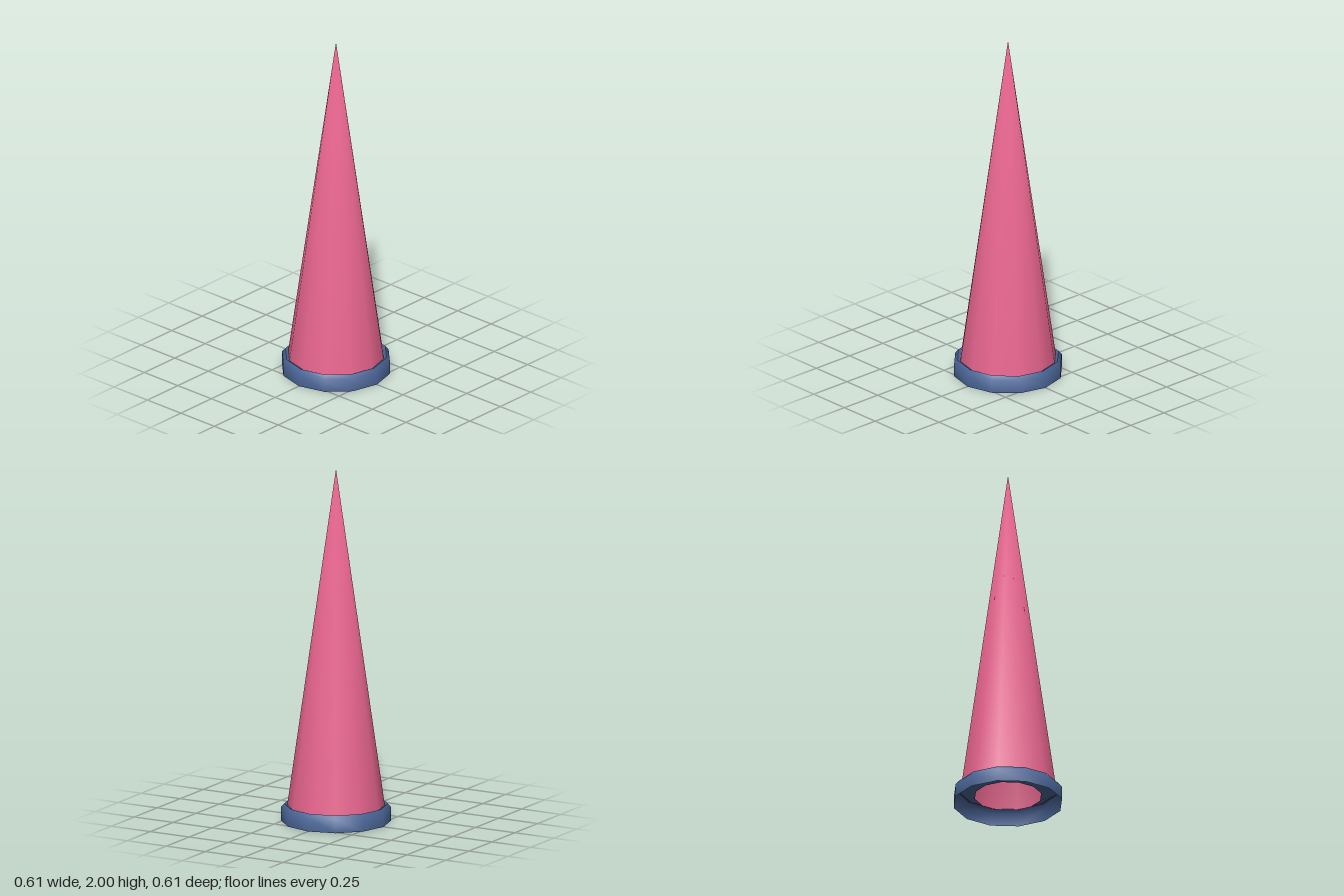
import * as THREE from 'three';
import { mergeVertices, toCreasedNormals } from 'three/addons/utils/BufferGeometryUtils.js';

const SIDES = 12;

export function createModel() {
  const group = new THREE.Group();
  group.name = 'partyHat';

  // Open cone with one shared tip vertex, so the shading rolls over the point
  const baseY = 0.085, tipY = 2;
  let cone = new THREE.ConeGeometry(0.27, tipY - baseY, SIDES, 1, true);
  cone.deleteAttribute('normal');
  cone.deleteAttribute('uv');
  cone = mergeVertices(cone);
  cone.computeVertexNormals();
  cone.translate(0, (tipY + baseY) / 2, 0);
  const coneMesh = new THREE.Mesh(cone, new THREE.MeshStandardMaterial({
    color: 0xe8658f, side: THREE.DoubleSide,
  }));
  coneMesh.name = 'cone';
  group.add(coneMesh);

  // Brim: outer wall, bevel, then a lip sloping down and inward under the cone
  const profile = [
    [0.305, 0], [0.305, 0.075], [0.286, 0.096], [0.187, 0.045],
  ].map(([r, y]) => new THREE.Vector2(r, y));
  const brim = toCreasedNormals(new THREE.LatheGeometry(profile, SIDES), Math.PI / 3);
  const brimMesh = new THREE.Mesh(brim, new THREE.MeshStandardMaterial({
    color: 0x4a6596, side: THREE.DoubleSide,
  }));
  brimMesh.name = 'brim';
  group.add(brimMesh);

  return group;
}
